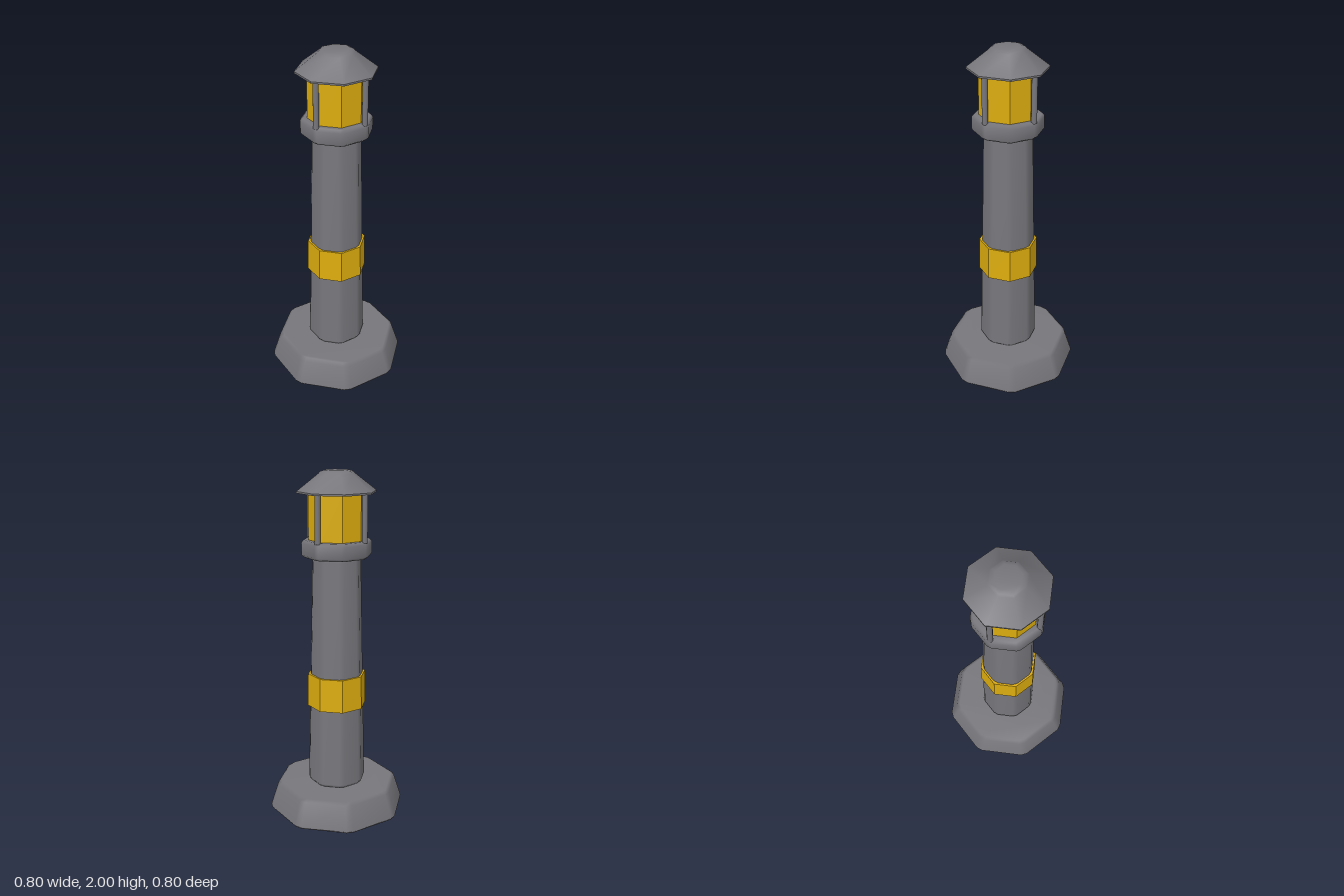
import * as THREE from 'three';
import { toCreasedNormals } from 'three/addons/utils/BufferGeometryUtils.js';

// Octagon outline with a corner on each axis; corners are trimmed when cut > 0
function octagon(r, cut) {
  const pts = [];
  for (let i = 0; i < 8; i++) {
    const a = i * Math.PI / 4;
    const x = Math.sin(a) * r, z = Math.cos(a) * r;
    if (!cut) { pts.push([x, z]); continue; }
    for (const s of [-1, 1]) pts.push([x + s * Math.cos(a) * cut, z - s * Math.sin(a) * cut]);
  }
  return pts;
}

// Closed solid through octagon rings given as [radius, height], bottom to top
function loft(rings, cut = 0) {
  const pos = [], idx = [];
  const n = cut ? 16 : 8;
  rings.forEach(([r, y]) => octagon(r, cut).forEach(([x, z]) => pos.push(x, y, z)));
  for (let k = 0; k < rings.length - 1; k++) {
    for (let i = 0; i < n; i++) {
      const a = k * n + i, b = k * n + (i + 1) % n;
      idx.push(a, b, b + n, a, b + n, a + n);
    }
  }
  const top = (rings.length - 1) * n;
  for (let i = 1; i < n - 1; i++) {
    idx.push(0, i + 1, i);
    idx.push(top, top + i, top + i + 1);
  }
  const g = new THREE.BufferGeometry();
  g.setAttribute('position', new THREE.Float32BufferAttribute(pos, 3));
  g.setIndex(idx);
  g.computeVertexNormals(); // area-weighted: broad faces stay flat, bevels blend
  return g;
}

export function createModel() {
  const model = new THREE.Group();
  model.name = 'bollardLight';

  const grey = new THREE.MeshStandardMaterial({ color: 0x77767b });
  grey.name = 'grey';
  const yellow = new THREE.MeshStandardMaterial({ color: 0xdcac0e });
  yellow.name = 'yellow';

  const add = (name, geometry, material) => {
    const mesh = new THREE.Mesh(geometry, material);
    mesh.name = name;
    model.add(mesh);
    return mesh;
  };

  // Bevelled foot, tapering column and collar
  add('base', loft([[0.394, 0], [0.401, 0.012], [0.356, 0.15], [0.335, 0.165]], 0.02), grey);
  add('column', loft([[0.152, 0.163], [0.167, 0.185], [0.136, 1.51], [0.118, 1.53]], 0.015), grey);
  add('collar', loft([[0.182, 1.525], [0.199, 1.54], [0.199, 1.607], [0.184, 1.622]], 0.012), grey);

  // Sharp-edged band and lantern
  add('band', toCreasedNormals(loft([[0.173, 0.645], [0.169, 0.84]]), 0.3), yellow);
  add('lantern', toCreasedNormals(loft([[0.16, 1.615], [0.16, 1.885]]), 0.3), yellow);

  // Four posts around the lantern
  for (let i = 0; i < 4; i++) {
    const a = i * Math.PI / 2;
    const post = add('post', new THREE.CylinderGeometry(0.016, 0.016, 0.27, 12), grey);
    post.position.set(Math.sin(a) * 0.184, 1.75, Math.cos(a) * 0.184);
  }

  // Roof with a soft, flattened crown
  const roof = loft([[0.224, 1.878], [0.224, 1.888], [0.102, 1.982], [0.092, 1.993], [0.07, 2]]);
  add('roof', toCreasedNormals(roof, 0.75), grey);

  return model;
}
